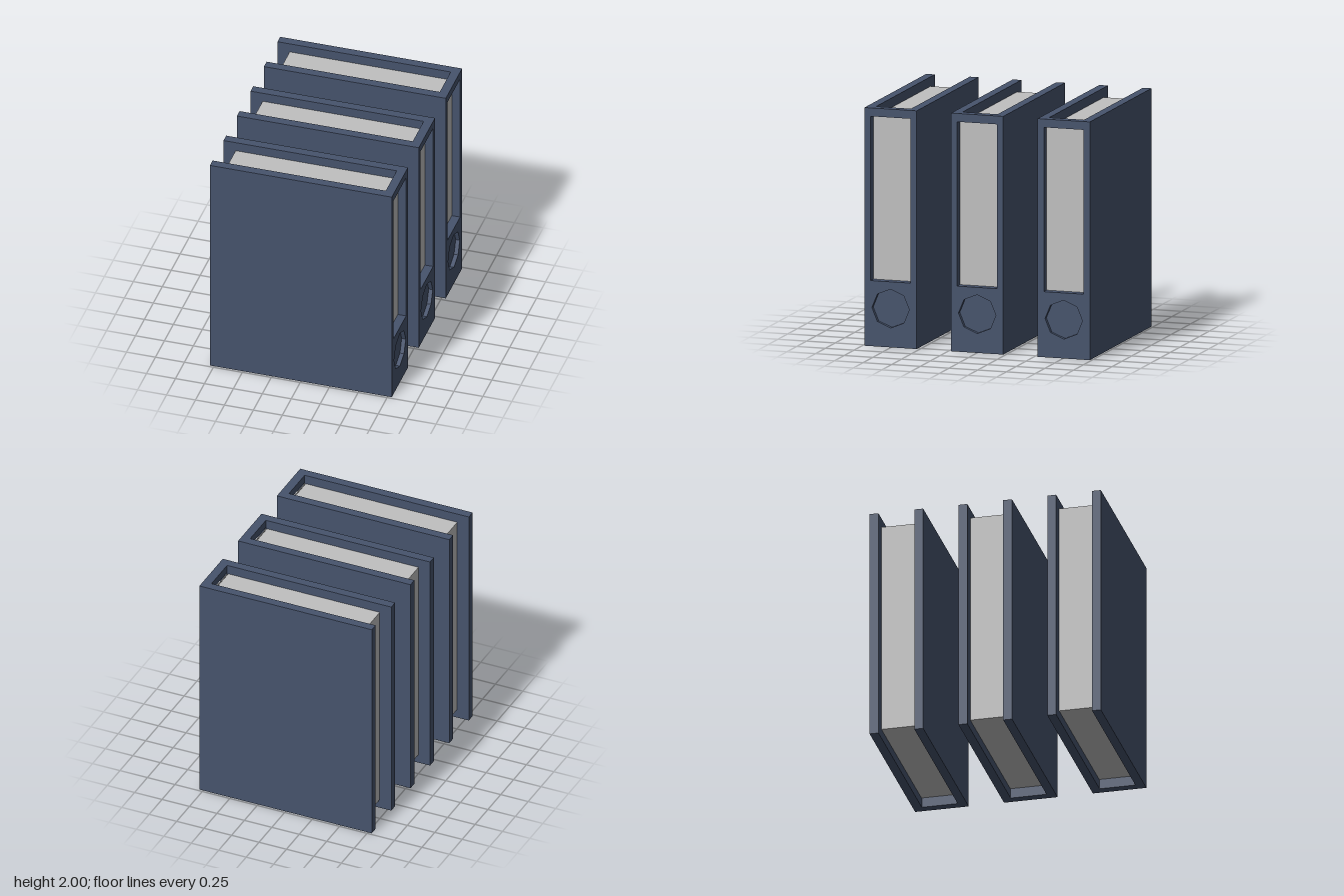
import * as THREE from 'three';

const navy = new THREE.MeshStandardMaterial({ color: 0x46536c });
navy.name = 'navy board';
const paper = new THREE.MeshStandardMaterial({ color: 0xc0c0c0 });
paper.name = 'grey paper';

// overall sizes of one binder
const H = 2, W = 0.455, X = 0.785, T = 0.075;
const spineX = X - T;
const ring = { y: 0.325, r: 0.163, depth: 0.035 };

function box(name, material, x0, x1, y0, y1, z0, z1) {
  const mesh = new THREE.Mesh(new THREE.BoxGeometry(x1 - x0, y1 - y0, z1 - z0), material);
  mesh.position.set((x0 + x1) / 2, (y0 + y1) / 2, (z0 + z1) / 2);
  mesh.name = name;
  return mesh;
}

function rectangle(path, x0, x1, y0, y1) {
  return path.moveTo(x0, y0).lineTo(x1, y0).lineTo(x1, y1).lineTo(x0, y1).closePath();
}

// octagon with a corner pointing straight up
function octagon(path) {
  const points = Array.from({ length: 8 }, (_, i) => {
    const a = i * Math.PI / 4;
    return new THREE.Vector2(Math.cos(a) * ring.r, ring.y + Math.sin(a) * ring.r);
  });
  path.setFromPoints(points);
  path.closePath();
  return path;
}

// outline in the spine's plane, extruded towards +x
function spinePart(name, shape, x0, depth) {
  const geometry = new THREE.ExtrudeGeometry(shape, { depth, bevelEnabled: false });
  geometry.rotateY(Math.PI / 2);
  const mesh = new THREE.Mesh(geometry, navy);
  mesh.position.x = x0;
  mesh.name = name;
  return mesh;
}

function createBinder() {
  const binder = new THREE.Group();
  binder.name = 'binder';

  // two cover boards
  for (const side of [-1, 1]) {
    const cover = box('cover', navy, -X, spineX, 0, H, W / 2 - T, W / 2);
    cover.position.z *= side;
    binder.add(cover);
  }

  // spine with label window and recessed finger hole
  const outline = rectangle(new THREE.Shape(), -W / 2, W / 2, 0, H);
  outline.holes.push(
    rectangle(new THREE.Path(), -0.174, 0.174, 0.55, 1.93),
    octagon(new THREE.Path())
  );
  binder.add(spinePart('spine', outline, spineX, T));
  binder.add(spinePart('fingerHoleFloor', octagon(new THREE.Shape()), spineX, T - ring.depth));

  // label at the bottom of the window, and the block of pages
  binder.add(box('label', paper, spineX - 0.004, spineX + 0.003, 0.54, 1.918, -0.174, 0.174));
  binder.add(box('pages', paper, -0.68, 0.7, 0.08, 1.92, -W / 2 + T, W / 2 - T));
  return binder;
}

export function createModel() {
  const model = new THREE.Group();
  model.name = 'binders';
  for (const z of [-0.755, 0, 0.755]) {
    const binder = createBinder();
    binder.position.z = z;
    model.add(binder);
  }
  return model;
}
